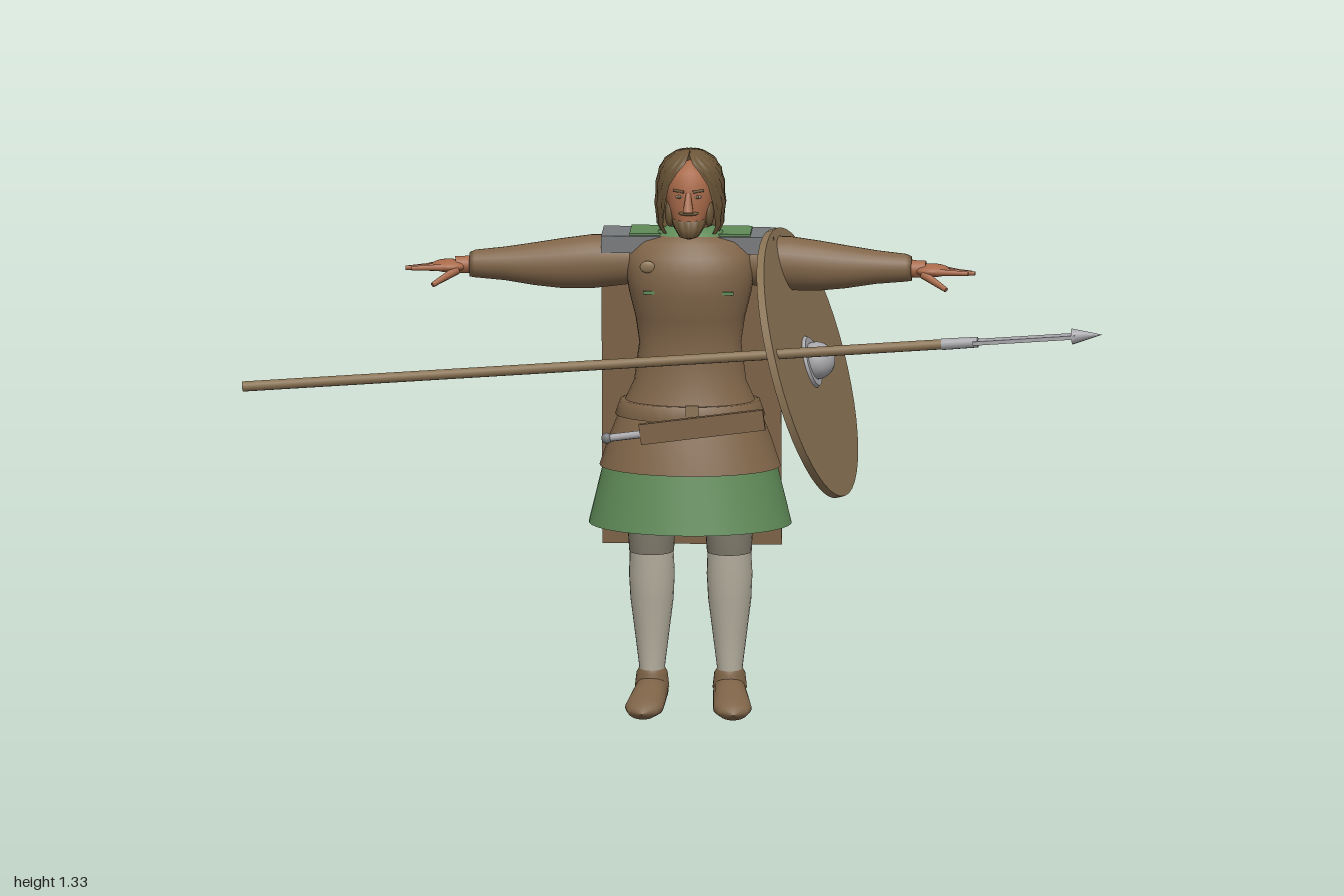
import * as THREE from 'three';

const paint = (name, color, side = THREE.FrontSide) => {
  const m = new THREE.MeshStandardMaterial({ color, side });
  m.name = name;
  return m;
};

// Loft of elliptical rings [y, rx, rz, cx, cz, halfOpening] stacked upwards.
// An opening leaves a gap at the front; ridges ripple the radius into strands.
function loft(rings, { n = 32, ridges = 0, depth = 0, open = false } = {}) {
  const pos = [], idx = [], cols = open ? n + 1 : n;
  for (const [y, rx, rz, cx = 0, cz = 0, gap = 0] of rings) {
    for (let j = 0; j < cols; j++) {
      const a = gap + (j / n) * (2 * Math.PI - 2 * gap);
      const k = 1 + depth * Math.cos(a * ridges);
      pos.push(cx + Math.sin(a) * rx * k, y, cz + Math.cos(a) * rz * k);
    }
  }
  for (let i = 0; i < rings.length - 1; i++) {
    for (let j = 0; j < n; j++) {
      const a = i * cols + j, b = i * cols + (j + 1) % cols;
      idx.push(a, b, a + cols, b, b + cols, a + cols);
    }
  }
  const g = new THREE.BufferGeometry();
  g.setAttribute('position', new THREE.Float32BufferAttribute(pos, 3));
  g.setIndex(idx);
  g.computeVertexNormals();
  return g;
}

// Tapered rod between two points
function rod(a, b, r0, r1, n = 8) {
  const p = new THREE.Vector3(...a), q = new THREE.Vector3(...b), d = q.clone().sub(p);
  const g = new THREE.CylinderGeometry(r1, r0, d.length(), n);
  g.applyQuaternion(new THREE.Quaternion().setFromUnitVectors(new THREE.Vector3(0, 1, 0), d.normalize()));
  return g.translate(...p.add(q).multiplyScalar(0.5).toArray());
}

const box = (w, h, d, x, y, z) => new THREE.BoxGeometry(w, h, d).translate(x, y, z);
const ball = (sx, sy, sz, x, y, z) => new THREE.SphereGeometry(1, 20, 14).scale(sx, sy, sz).translate(x, y, z);

// Mirrored copy across x, with the winding turned round
function mirrored(geo) {
  const g = geo.clone().scale(-1, 1, 1), ix = g.index.array;
  for (let i = 0; i < ix.length; i += 3) [ix[i], ix[i + 1]] = [ix[i + 1], ix[i]];
  const nor = g.attributes.normal, src = geo.attributes.normal;
  for (let i = 0; i < nor.count; i++) nor.setXYZ(i, -src.getX(i), src.getY(i), src.getZ(i));
  return g;
}

export function createModel() {
  const cloth = paint('brown cloth', 0x806549, THREE.DoubleSide);
  const wood = paint('wood', 0x8b7455);
  const green = paint('green cloth', 0x5f8a58, THREE.DoubleSide);
  const skin = paint('skin', 0xa86a4a);
  const steel = paint('steel', 0xa8a8ac);
  const darkSteel = paint('dark steel', 0x777a7c);
  const hose = paint('pale hose', 0xb9b3a2);
  const trousers = paint('grey trousers', 0x858071);
  const hairBrown = paint('hair brown', 0x6d5739, THREE.DoubleSide);
  const leather = paint('leather', 0x7d6347);

  const model = new THREE.Group(), body = new THREE.Group();
  body.name = 'warrior';
  body.position.x = 0.028;
  model.add(body);
  const add = (parent, name, geo, mat) => {
    const m = new THREE.Mesh(geo, mat);
    m.name = name;
    parent.add(m);
    return m;
  };
  const pair = (name, geo, mat) => {
    add(body, name + 'Left', geo, mat);
    add(body, name + 'Right', mirrored(geo), mat);
  };

  // Clothing: flared tunic, underskirt, belt, flat cape and shoulder mantle
  const zc = -0.028;
  add(body, 'tunic', loft([
    [0.58, 0.21, 0.15], [0.65, 0.187, 0.13], [0.71, 0.162, 0.108], [0.78, 0.13, 0.085], [0.87, 0.118, 0.076],
    [0.93, 0.127, 0.09], [0.99, 0.142, 0.104], [1.04, 0.15, 0.104], [1.08, 0.145, 0.09], [1.11, 0.115, 0.068],
    [1.13, 0.05, 0.045], [1.132, 0, 0],
  ].map(r => [...r, 0, zc])), cloth);
  add(body, 'underskirt', loft([[0.445, 0.235, 0.177, 0, zc], [0.59, 0.2, 0.143, 0, zc]], { n: 48 }), green);
  add(body, 'belt', loft([
    [0.7, 0.164, 0.11], [0.7, 0.174, 0.12], [0.735, 0.162, 0.11], [0.735, 0.15, 0.1],
  ].map(r => [...r, 0, zc])), leather);
  add(body, 'buckle', box(0.03, 0.028, 0.008, 0.01, 0.727, 0.087), wood);
  const cape = add(body, 'cape', new THREE.BoxGeometry(0.415, 0.74, 0.008), cloth);
  cape.position.set(0, 0.745, -0.09);
  cape.rotation.x = 0.08;
  add(body, 'mantle', box(0.4, 0.04, 0.125, -0.005, 1.102, -0.062), darkSteel);
  add(body, 'mantleLining', box(0.28, 0.006, 0.105, 0, 1.124, -0.062), green);
  add(body, 'collar', loft([[1.1, 0.1, 0.075, 0, -0.035], [1.128, 0.075, 0.06, 0, -0.04], [1.142, 0.05, 0.045, 0, -0.045]]), green);
  pair('chestTrim', box(0.04, 0.007, 0.006, 0.085, 1.0, 0.056), green);
  add(body, 'brooch', ball(0.018, 0.014, 0.006, -0.095, 1.06, 0.052), wood);

  // Short sword slung across the belt
  const sword = new THREE.Group();
  sword.name = 'shortSword';
  sword.position.set(-0.01, 0.69, 0.112);
  sword.rotation.z = 0.13;
  body.add(sword);
  add(sword, 'scabbard', box(0.29, 0.048, 0.016, 0.045, 0, 0), leather);
  add(sword, 'grip', rod([-0.17, 0, 0], [-0.1, 0, 0], 0.009, 0.009), steel);
  add(sword, 'pommel', ball(0.012, 0.013, 0.012, -0.178, 0, 0), darkSteel);

  // Legs and shoes
  const leg = rings => loft(rings.map(([y, rx, rz, z]) => [y, rx, rz, 0.09, z]), { n: 24 });
  pair('hose', leg([[0.06, 0.031, 0.036, -0.06], [0.1, 0.03, 0.037, -0.06], [0.18, 0.04, 0.046, -0.06],
    [0.26, 0.05, 0.057, -0.056], [0.32, 0.053, 0.06, -0.05], [0.39, 0.05, 0.057, -0.04]]), hose);
  pair('trouserLeg', leg([[0.375, 0.052, 0.06, -0.038], [0.45, 0.056, 0.063, -0.026], [0.6, 0.065, 0.07, -0.02]]), trousers);
  const foot = loft([
    [-0.1, 0, 0, 0, -0.03], [-0.098, 0.02, 0.024, 0, -0.028], [-0.08, 0.033, 0.04, 0, -0.04],
    [-0.04, 0.038, 0.043, 0, -0.043], [0.01, 0.042, 0.033, 0, -0.033], [0.06, 0.045, 0.023, 0, -0.023],
    [0.088, 0.034, 0.018, 0, -0.018], [0.1, 0, 0, 0, -0.014],
  ], { n: 24 }).rotateX(Math.PI / 2).rotateY(0.12).translate(0.095, 0, 0);
  pair('shoe', foot, leather);
  pair('shoeCuff', leg([[0.05, 0.04, 0.044, -0.058], [0.085, 0.036, 0.042, -0.06], [0.095, 0.03, 0.036, -0.06]]), leather);

  // Outstretched sleeves and hands
  pair('sleeve', loft([
    [0.09, 0.045, 0.045, 1.06], [0.15, 0.058, 0.054, 1.057], [0.23, 0.063, 0.056, 1.052], [0.3, 0.058, 0.052, 1.047],
    [0.36, 0.05, 0.046, 1.045], [0.43, 0.039, 0.038, 1.045], [0.5, 0.032, 0.032, 1.044], [0.512, 0.028, 0.028, 1.042],
    [0.505, 0, 0, 1.042],
  ].map(([u, ry, rz, y]) => [u, ry, rz, -y, -0.052]), { n: 24 }).rotateZ(-Math.PI / 2), cloth);
  pair('wrist', rod([0.49, 1.043, -0.05], [0.545, 1.042, -0.047], 0.021, 0.02, 12), skin);
  pair('palm', ball(0.042, 0.015, 0.033, 0.56, 1.04, -0.045), skin);
  for (let i = 0; i < 4; i++) {
    const z = -0.07 + i * 0.017, reach = [0.635, 0.655, 0.66, 0.645][i];
    pair('finger', rod([0.57, 1.04, z], [reach, 1.03 + i * 0.003, z * 1.2 + 0.012], 0.0085, 0.005), skin);
  }
  pair('thumb', rod([0.54, 1.034, -0.025], [0.595, 1.005, 0.013], 0.011, 0.006), skin);

  // Head: face, features, beard and long ridged hair
  const head = new THREE.Group();
  head.name = 'head';
  body.add(head);
  add(head, 'neck', rod([0, 1.08, -0.04], [0, 1.18, -0.03], 0.042, 0.038, 20), skin);
  add(head, 'face', loft([
    [1.135, 0, 0, 0, 0.025], [1.14, 0.022, 0.026, 0, 0.028], [1.165, 0.04, 0.05, 0, 0.008], [1.2, 0.053, 0.062, 0, -0.005],
    [1.24, 0.056, 0.068, 0, -0.01], [1.28, 0.05, 0.06, 0, -0.014], [1.3, 0, 0, 0, -0.02],
  ]), skin);
  add(head, 'nose', rod([0, 1.19, 0.066], [0, 1.235, 0.054], 0.014, 0.006, 6), skin);
  add(head, 'beard', loft([
    [1.122, 0, 0, 0, 0.035], [1.13, 0.022, 0.026, 0, 0.036], [1.148, 0.034, 0.04, 0, 0.022], [1.168, 0.043, 0.047, 0, 0.012],
    [1.172, 0.038, 0.04, 0, 0.01],
  ], { ridges: 12, depth: 0.03, n: 48 }), hairBrown);
  add(head, 'moustache', ball(0.024, 0.006, 0.012, 0, 1.187, 0.05), hairBrown);
  for (const s of [-1, 1]) {
    add(head, 'eye', ball(0.009, 0.004, 0.004, s * 0.021, 1.226, 0.052), hose);
    add(head, 'pupil', ball(0.004, 0.004, 0.004, s * 0.021, 1.226, 0.0545), hairBrown);
    add(head, 'brow', rod([s * 0.01, 1.238, 0.056], [s * 0.035, 1.24, 0.045], 0.004, 0.003, 6), hairBrown);
    add(head, 'jawBeard', ball(0.012, 0.032, 0.02, s * 0.045, 1.18, 0.01), hairBrown);
  }
  add(head, 'hair', loft([
    [1.125, 0.064, 0.078, 0, -0.042, 0.95], [1.15, 0.076, 0.08, 0, -0.037, 0.9], [1.2, 0.081, 0.086, 0, -0.032, 0.78],
    [1.25, 0.078, 0.089, 0, -0.03, 0.6], [1.28, 0.071, 0.086, 0, -0.028, 0.4], [1.302, 0.058, 0.073, 0, -0.026, 0.15],
    [1.318, 0.035, 0.048, 0, -0.024, 0.03], [1.325, 0, 0, 0, -0.022, 0],
  ], { n: 160, ridges: 22, depth: 0.035, open: true }), hairBrown);

  // Tilted round shield with a steel boss
  const shield = new THREE.Group();
  shield.name = 'shield';
  shield.position.set(0.3, 0.825, -0.015);
  shield.quaternion.setFromUnitVectors(new THREE.Vector3(0, 1, 0), new THREE.Vector3(1, 0.29, 0.16).normalize());
  model.add(shield);
  add(shield, 'shieldBoard', new THREE.CylinderGeometry(0.32, 0.32, 0.018, 48), wood);
  add(shield, 'bossFlange', new THREE.CylinderGeometry(0.058, 0.062, 0.008, 24).translate(0, 0.012, 0), steel);
  add(shield, 'boss', ball(0.044, 0.044, 0.044, 0, 0.022, 0), steel);

  // Spear, built along x and then aimed
  const aim = new THREE.Vector3(2, 0.178, 0.182), L = aim.length();
  const spear = new THREE.Group();
  spear.name = 'spear';
  spear.position.set(-1, 0.785, 0.135);
  spear.quaternion.setFromUnitVectors(new THREE.Vector3(1, 0, 0), aim.normalize());
  model.add(spear);
  add(spear, 'spearShaft', rod([0, 0, 0], [1.66, 0, 0], 0.012, 0.012, 12), wood);
  add(spear, 'spearSocket', rod([1.64, 0, 0], [1.725, 0, 0], 0.0135, 0.0125, 12), steel);
  add(spear, 'spearBlade', box(0.24, 0.009, 0.036, 1.835, 0, 0), steel);
  add(spear, 'spearPoint', rod([L - 0.07, 0, 0], [L, 0, 0], 0.019, 0, 12), steel);

  return model;
}
